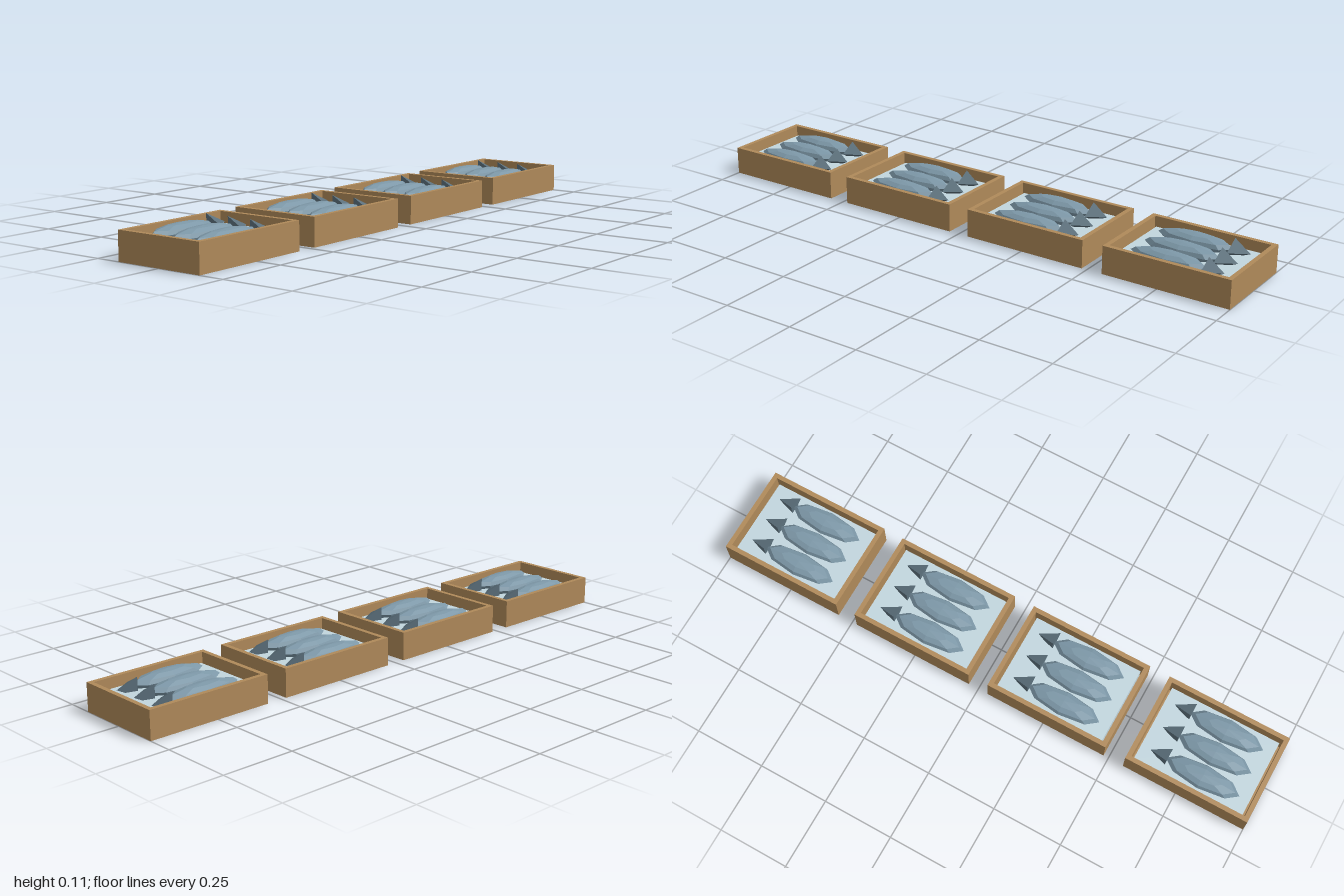
import * as THREE from 'three';

const W = 0.445, H = 0.097, D = 0.324, WALL = 0.016, PITCH = 0.5183;

const mat = (color) => new THREE.MeshStandardMaterial({ color, flatShading: true });

function add(parent, name, geometry, material, x, y, z) {
  const mesh = new THREE.Mesh(geometry, material);
  mesh.name = name;
  mesh.position.set(x, y, z);
  parent.add(mesh);
  return mesh;
}

export function createModel() {
  const wood = mat(0xb08a5a), ice = mat(0xc2d6de), skin = mat(0x7d98a8), fin = mat(0x5c717d);

  // Shared geometries
  const floorGeo = new THREE.BoxGeometry(W, WALL, D);
  const longWall = new THREE.BoxGeometry(W, H, WALL);
  const endWall = new THREE.BoxGeometry(WALL, H, D - 2 * WALL);
  const iceGeo = new THREE.BoxGeometry(0.398, 0.046, 0.284);
  const bodyGeo = new THREE.SphereGeometry(1, 8, 6).scale(0.135, 0.026, 0.043);
  // Three-sided tail cone, point away from the body
  const tailGeo = new THREE.ConeGeometry(0.038, 0.064, 3).rotateZ(-Math.PI / 2);

  function createFish(z) {
    const fish = new THREE.Group();
    fish.name = 'fish';
    fish.position.set(-0.028, 0.075, z);
    add(fish, 'fishBody', bodyGeo, skin, 0, 0, 0);
    add(fish, 'fishTail', tailGeo, fin, 0.16, 0, 0);
    return fish;
  }

  function createCrate(x) {
    const crate = new THREE.Group();
    crate.name = 'fishCrate';
    crate.position.x = x;
    add(crate, 'crateFloor', floorGeo, wood, 0, WALL / 2, 0);
    for (const s of [-1, 1]) {
      add(crate, 'longWall', longWall, wood, 0, H / 2, s * (D - WALL) / 2);
      add(crate, 'endWall', endWall, wood, s * (W - WALL) / 2, H / 2, 0);
    }
    add(crate, 'iceBed', iceGeo, ice, 0, WALL + 0.023, 0);
    for (const z of [-0.089, 0, 0.089]) crate.add(createFish(z));
    return crate;
  }

  // Row of four crates
  const model = new THREE.Group();
  model.name = 'fishCrates';
  for (let i = 0; i < 4; i++) model.add(createCrate((i - 1.5) * PITCH));
  return model;
}
